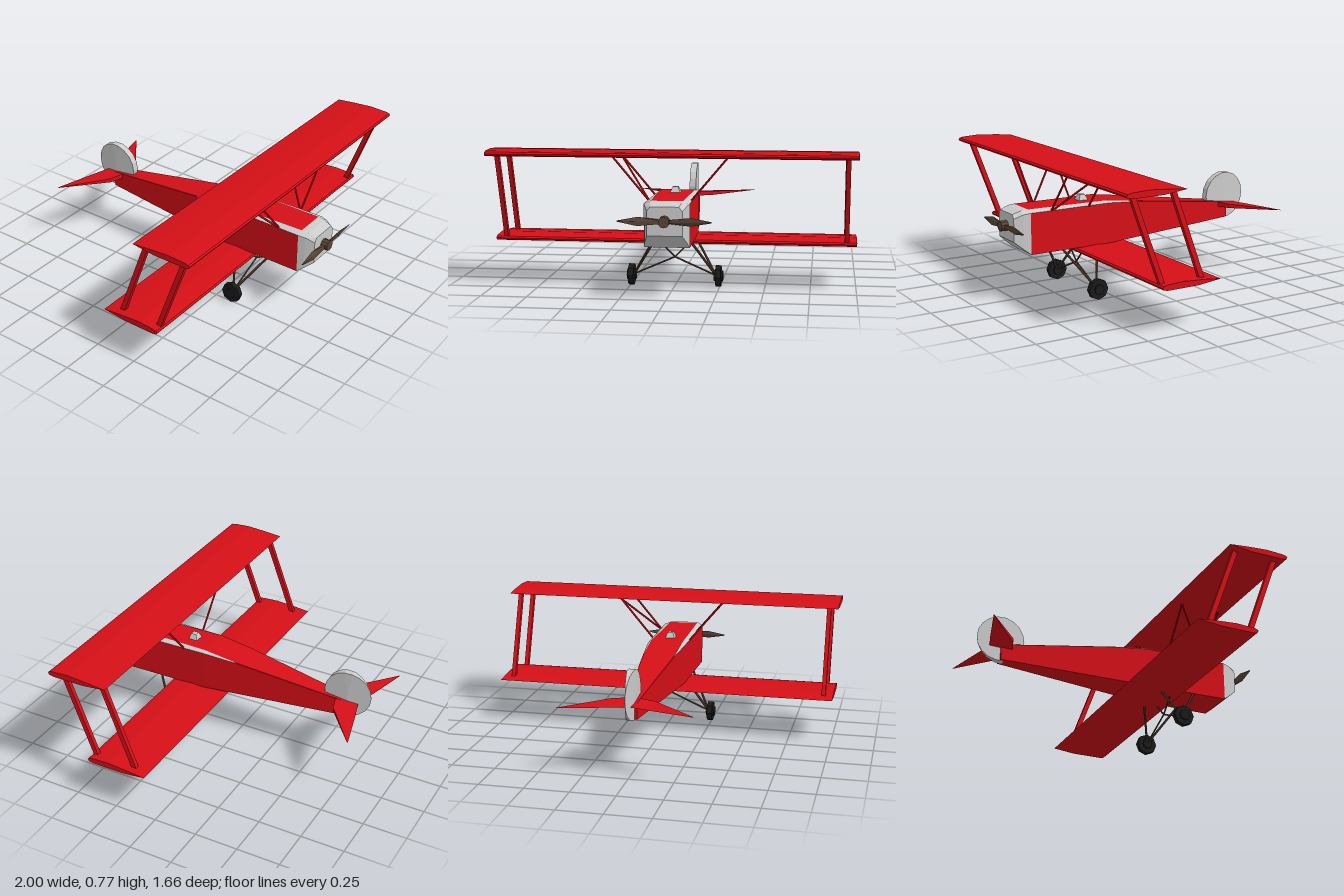
import * as THREE from 'three';

const mat = (color) => new THREE.MeshStandardMaterial({ color, flatShading: true });

// Skin between matching rings (counter-clockwise seen from the first ring), optional end caps and face bands
function loft(rings, { bands, capStart, capEnd } = {}) {
  const pos = [], n = rings[0].length;
  const tri = (a, b, c) => pos.push(...a, ...b, ...c);
  const list = bands || [...Array(n).keys()];
  for (let r = 0; r < rings.length - 1; r++) {
    for (const i of list) {
      const j = (i + 1) % n, p = rings[r], q = rings[r + 1];
      tri(p[i], q[j], p[j]);
      tri(p[i], q[i], q[j]);
    }
  }
  const first = rings[0], last = rings[rings.length - 1];
  for (let i = 1; i < n - 1; i++) {
    if (capStart) tri(first[0], first[i], first[i + 1]);
    if (capEnd) tri(last[0], last[i + 1], last[i]);
  }
  const g = new THREE.BufferGeometry();
  g.setAttribute('position', new THREE.Float32BufferAttribute(pos, 3));
  g.computeVertexNormals();
  return g;
}

export function createModel() {
  const plane = new THREE.Group();
  plane.name = 'biplane';
  const red = mat(0xd50f17), grey = mat(0xcccccc), brown = mat(0x5a4435), black = mat(0x1a1a1a);

  const add = (name, geometry, material, parent = plane) => {
    const m = new THREE.Mesh(geometry, material);
    m.name = name;
    parent.add(m);
    return m;
  };
  // Straight bar from a to b; flat narrows it across x
  const rod = (name, a, b, r, material, sides = 6, flat = 1) => {
    const A = new THREE.Vector3(...a), B = new THREE.Vector3(...b), d = B.clone().sub(A);
    const g = new THREE.CylinderGeometry(r, r, d.length(), sides);
    if (sides === 4) g.rotateY(Math.PI / 4);
    g.scale(flat, 1, 1);
    const m = add(name, g, material);
    m.position.copy(A).add(B).multiplyScalar(0.5);
    m.quaternion.setFromUnitVectors(new THREE.Vector3(0, 1, 0), d.normalize());
    return m;
  };

  // Fuselage: [z, half width, bottom, shoulder height, half top width, top]
  const ring = ([z, w, yb, ys, wt, yt]) =>
    [[w, yb, z], [w, ys, z], [wt, yt, z], [-wt, yt, z], [-w, ys, z], [-w, yb, z]];
  const nose = [0.79, 0.093, 0.35, 0.48, 0.075, 0.503];
  const cowl = [0.74, 0.112, 0.307, 0.502, 0.084, 0.52];
  const body = [
    [0.7, 0.122, 0.275, 0.508, 0.086, 0.523],
    [0.2, 0.114, 0.275, 0.508, 0.095, 0.521],
    [0, 0.095, 0.283, 0.491, 0.092, 0.494],
    [-0.67, 0.032, 0.31, 0.402, 0.031, 0.403],
  ].map(ring);
  add('engineCowl', loft([ring(nose), ring(cowl), body[0]], { capStart: true }), grey);
  add('fuselage', loft(body, { bands: [0, 2, 4, 5], capEnd: true }), red);
  add('shoulderPanels', loft(body.slice(0, 3), { bands: [1, 3] }), grey);
  add('rearShoulders', loft(body.slice(2), { bands: [1, 3] }), red);

  // Small windscreen behind the upper wing
  const screen = new THREE.CylinderGeometry(0.022, 0.042, 0.035, 4).rotateY(Math.PI / 4);
  add('windscreen', screen, grey).position.set(0, 0.535, 0.32);

  // Wings: section as [distance behind leading edge, height]
  const airfoil = [[0.355, 0], [0.26, 0.01], [0.13, 0.019], [0.03, 0.014], [0.007, 0.009],
    [0, 0], [0.007, -0.011], [0.03, -0.016], [0.22, -0.015]];
  const wing = (name, y, front) => {
    const section = (x) => airfoil.map(([d, h]) => [x, y + h, front - d]);
    add(name, loft([section(1), section(-1)], { capStart: true, capEnd: true }), red);
  };
  wing('upperWing', 0.752, 0.626);
  wing('lowerWing', 0.26, 0.415);

  for (const s of [1, -1]) {
    // Slanted outer struts
    for (const z of [0.565, 0.325]) {
      rod('wingStrut', [0.945 * s, 0.742, z], [0.945 * s, 0.258, z - 0.18], 0.02, red, 4, 0.85);
    }
    // Cabane struts between body and upper wing
    for (const [z0, z1] of [[0.57, 0.57], [0.57, 0.33], [0.333, 0.333]]) {
      rod('cabaneStrut', [0.108 * s, 0.5, z0], [0.312 * s, 0.742, z1], 0.006, red);
    }
    // Landing gear
    const hub = [0.23 * s, 0.062, 0.355];
    rod('frontGearLeg', hub, [0.1 * s, 0.28, 0.5], 0.007, brown);
    rod('rearGearLeg', hub, [0.1 * s, 0.28, 0.275], 0.007, brown);
    rod('gearBrace', hub, [0, 0.163, 0.355], 0.005, brown);
    rod('upperGearBrace', [0, 0.163, 0.355], [0.1 * s, 0.265, 0.355], 0.005, brown);
    const wheel = new THREE.Group();
    wheel.name = 'wheel';
    wheel.position.set(0.243 * s, 0.06, 0.355);
    add('tire', new THREE.CylinderGeometry(0.06, 0.06, 0.03, 8).rotateZ(Math.PI / 2), black, wheel);
    add('hub', new THREE.CylinderGeometry(0.03, 0.03, 0.05, 8).rotateZ(Math.PI / 2), black, wheel);
    plane.add(wheel);
  }

  // Swept tailplane: [x, leading z, trailing z, half thickness]
  const tail = [[0.368, -0.825, -0.83, 0.001], [0.12, -0.63, -0.765, 0.012], [0, -0.595, -0.73, 0.016]];
  const tailRings = [...tail, ...tail.slice(0, 2).reverse().map(([x, ...r]) => [-x, ...r])]
    .map(([x, f, b, t]) => [[x, 0.395, b], [x, 0.395 + t, f], [x, 0.395 - t, f]]);
  add('tailplane', loft(tailRings, { capStart: true, capEnd: true }), red);

  // Round rudder, thinning to an edge at the back
  const rudder = new THREE.CylinderGeometry(0.138, 0.138, 2, 18).rotateZ(Math.PI / 2);
  const p = rudder.attributes.position;
  for (let i = 0; i < p.count; i++) {
    p.setX(i, p.getX(i) * 0.02 * Math.min(1, (p.getZ(i) + 0.139) / 0.13));
  }
  rudder.computeVertexNormals();
  add('rudder', rudder, grey).position.set(0, 0.445, -0.668);

  // Propeller: twisted diamond blades [x, half chord, half thickness, twist]
  const propeller = new THREE.Group();
  propeller.name = 'propeller';
  propeller.position.set(0, 0.428, 0.808);
  const blade = loft([[0.247, 0.003, 0.002, 0.1], [0.14, 0.024, 0.005, 0.25], [0.01, 0.012, 0.008, 0.6]]
    .map(([x, c, t, a]) => [[0, -t], [c, 0], [0, t], [-c, 0]].map(([y, z]) =>
      [x, y * Math.cos(a) - z * Math.sin(a), y * Math.sin(a) + z * Math.cos(a)]).reverse()), { capStart: true });
  // Section order must run counter-clockwise seen from the tip
  blade.computeBoundingSphere();
  const bladeMat = brown.clone();
  bladeMat.side = THREE.DoubleSide;
  for (const turn of [0, Math.PI]) add('blade', blade, bladeMat, propeller).rotation.z = turn;
  add('propellerHub', new THREE.CylinderGeometry(0.03, 0.03, 0.044, 10).rotateX(Math.PI / 2), brown, propeller);
  plane.add(propeller);

  return plane;
}
